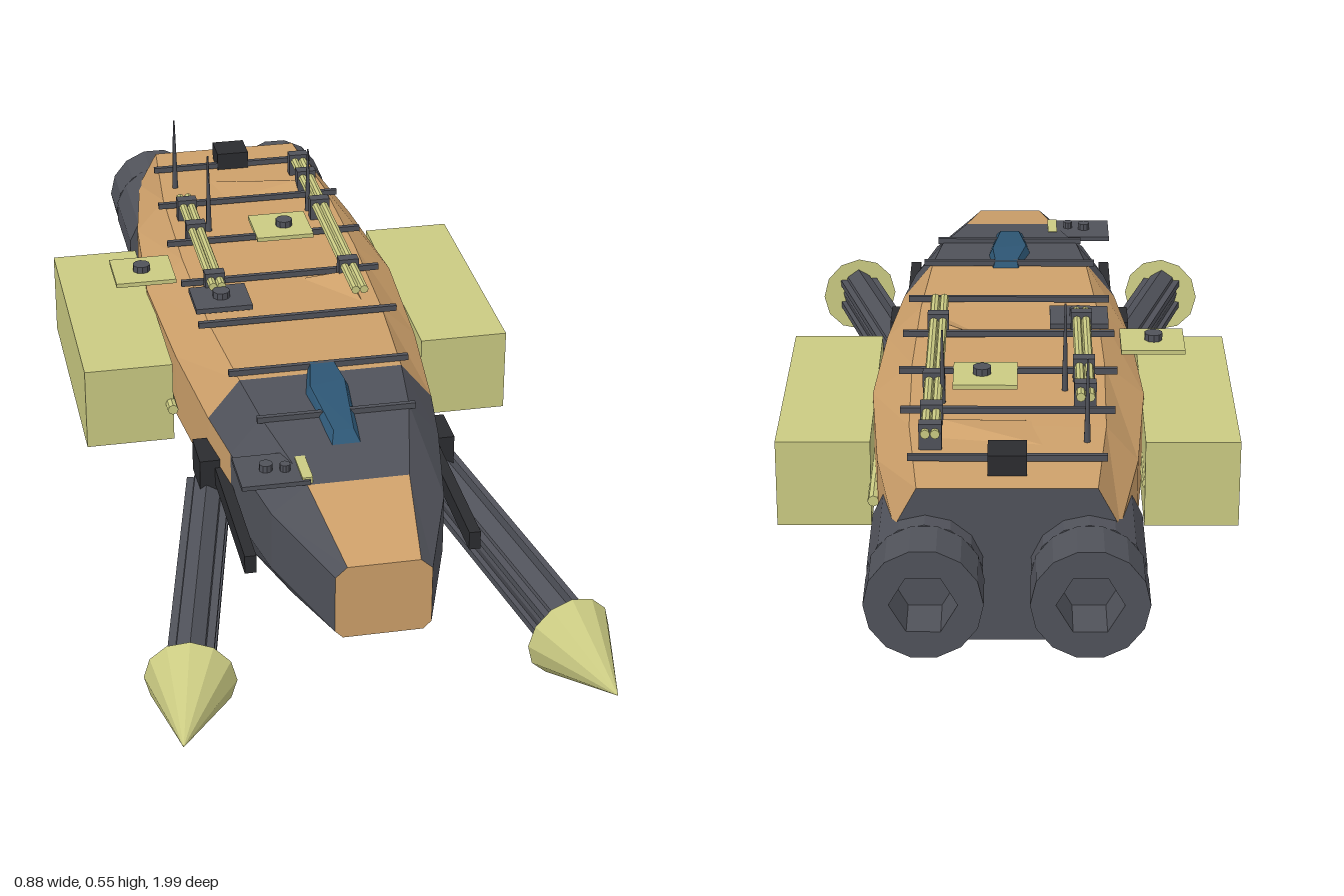
import * as THREE from 'three';
import { ConvexGeometry } from 'three/addons/geometries/ConvexGeometry.js';

export function createModel() {
  const model = new THREE.Group();
  model.name = 'spacecraft';
  const paint = (name, color) => {
    const m = new THREE.MeshStandardMaterial({ color });
    m.name = name;
    return m;
  };
  const tan = paint('tan', 0xcda06a), grey = paint('slate grey', 0x50525a), yellow = paint('pale yellow', 0xcaca82);
  const blue = paint('canopy blue', 0x2d5674), black = paint('near black', 0x2b2c2f);

  const add = (name, geo, mat, x = 0, y = 0, z = 0) => {
    const mesh = new THREE.Mesh(geo, mat);
    mesh.name = name;
    mesh.position.set(x, y, z);
    model.add(mesh);
    return mesh;
  };
  // box given by its limits on each axis
  const box = (name, mat, x0, x1, y0, y1, z0, z1) =>
    add(name, new THREE.BoxGeometry(x1 - x0, y1 - y0, z1 - z0), mat, (x0 + x1) / 2, (y0 + y1) / 2, (z0 + z1) / 2);
  const flat = (geo) => {
    const g = geo.index ? geo.toNonIndexed() : geo;
    g.computeVertexNormals();
    return g;
  };
  // cylinder along z
  const rod = (name, mat, r, x, y, z0, z1, sides = 8) =>
    add(name, flat(new THREE.CylinderGeometry(r, r, z1 - z0, sides).rotateX(Math.PI / 2)), mat, x, y, (z0 + z1) / 2);

  // Hull cross-sections: z, top half-width, top, side half-width, upper y, lower y, bottom half-width, bottom
  const sections = [
    [0.82, 0.068, 0.295, 0.09, 0.275, 0.16, 0.075, 0.145],
    [0.6, 0.097, 0.34, 0.165, 0.285, 0.165, 0.125, 0.105],
    [0.39, 0.145, 0.37, 0.205, 0.297, 0.17, 0.165, 0.073],
    [0.25, 0.162, 0.378, 0.225, 0.3, 0.17, 0.178, 0.065],
    [0, 0.18, 0.374, 0.25, 0.307, 0.17, 0.192, 0.058],
    [-0.3, 0.187, 0.374, 0.265, 0.31, 0.17, 0.2, 0.055],
    [-0.6, 0.182, 0.374, 0.242, 0.305, 0.17, 0.19, 0.06],
    [-0.86, 0.16, 0.37, 0.2, 0.295, 0.165, 0.165, 0.07],
  ];
  const rings = sections.map(([z, tw, top, w, yu, yl, bw, bot]) => {
    const right = [[bw, bot], [w, yl], [w, yu], [tw, top]];
    const left = right.map(([x, y]) => [-x, y]).reverse();
    return [...right, ...left].map(([x, y]) => [x, y, z]);
  });
  const tanFaces = [], greyFaces = [];
  for (let i = 0; i < rings.length - 1; i++) {
    for (let j = 0; j < 8; j++) {
      const k = (j + 1) % 8;
      const a = rings[i][j], b = rings[i][k], c = rings[i + 1][k], d = rings[i + 1][j];
      let dark = i < 2; // flanks of the nose
      if (j === 2 || j === 4) dark = i < 3; // upper chamfers
      if (j === 3) dark = i === 1 || i === 2; // deck around the canopy
      if (j === 7) dark = false; // belly
      (dark ? greyFaces : tanFaces).push(a, d, c, a, c, b);
    }
  }
  for (let j = 1; j < 7; j++) {
    tanFaces.push(rings[0][0], rings[0][j], rings[0][j + 1]);
    greyFaces.push(rings[7][0], rings[7][j + 1], rings[7][j]);
  }
  const skin = (faces) => {
    const g = new THREE.BufferGeometry();
    g.setAttribute('position', new THREE.Float32BufferAttribute(faces.flat(), 3));
    g.computeVertexNormals();
    return g;
  };
  add('hull', skin(tanFaces), tan);
  add('noseArmour', skin(greyFaces), grey);

  // Canopy
  const outline = [[-0.025, 0.2], [0.045, 0.2], [0.055, 0.3], [0.03, 0.5], [-0.03, 0.5], [-0.055, 0.32]];
  const canopyPoints = outline.flatMap(([x, z]) => [
    new THREE.Vector3(x, 0.35, z),
    new THREE.Vector3(x * 0.65, z > 0.45 ? 0.372 : 0.391, 0.33 + (z - 0.33) * 0.8),
  ]);
  add('canopy', new ConvexGeometry(canopyPoints), blue);

  // Raised deck fairings
  const fairing = (...pts) => add('deckFairing', new ConvexGeometry(pts.map((p) => new THREE.Vector3(...p))), tan);
  fairing([-0.09, 0.37, -0.69], [0.12, 0.37, -0.66], [0.12, 0.37, -0.56], [-0.08, 0.37, -0.565], [0.12, 0.392, -0.61]);
  fairing([0.03, 0.37, -0.17], [0.15, 0.37, -0.17], [0.15, 0.37, -0.02], [0.13, 0.395, -0.14]);

  // Rear engines with six-sided nozzles
  const ring = (PathType, r, n) => new PathType().setFromPoints(
    Array.from({ length: n }, (_, i) => new THREE.Vector2(r * Math.cos((i * 2 * Math.PI) / n), r * Math.sin((i * 2 * Math.PI) / n))));
  for (const s of [-1, 1]) {
    rod('engineBody', grey, 0.105, s * 0.145, 0.213, -0.9, -0.69, 14);
    const shape = ring(THREE.Shape, 0.105, 14);
    shape.holes.push(ring(THREE.Path, 0.06, 6));
    add('engineNozzle', new THREE.ExtrudeGeometry(shape, { depth: 0.1, bevelEnabled: false }), grey, s * 0.145, 0.213, -1);
  }

  // Forward booms with cone tips
  const up = new THREE.Vector3(0, 0, 1);
  for (const s of [-1, 1]) {
    const start = new THREE.Vector3(s * 0.228, 0.143, 0.26), end = new THREE.Vector3(s * 0.361, 0.09, 0.83);
    const dir = end.clone().sub(start);
    const mid = start.clone().add(end).multiplyScalar(0.5);
    const turn = new THREE.Quaternion().setFromUnitVectors(up, dir.clone().normalize());
    const boomGeo = flat(new THREE.CylinderGeometry(0.056, 0.056, dir.length(), 8).rotateX(Math.PI / 2).scale(0.66, 1, 1));
    add('boom', boomGeo, grey, mid.x, mid.y, mid.z).quaternion.copy(turn);
    for (const y of [-0.026, 0.026]) {
      const rib = new THREE.BoxGeometry(0.085, 0.014, dir.length() * 0.98).translate(0, y, 0);
      add('boomRib', rib, grey, mid.x, mid.y, mid.z).quaternion.copy(turn);
    }
    const coneGeo = flat(new THREE.ConeGeometry(0.085, 0.185, 12).rotateX(Math.PI / 2));
    add('boomTip', coneGeo, yellow, s * 0.376, 0.079, 0.902).quaternion.copy(turn);

    // Side guns
    const span = (a, b) => (s > 0 ? [a, b] : [-b, -a]);
    box('gunBlock', black, ...span(0.215, 0.255), 0.18, 0.247, 0.235, 0.325);
    box('gunBarrel', black, ...span(0.203, 0.225), 0.193, 0.23, 0.24, 0.65);

    // Cargo pods and their rods
    box('sidePod', yellow, ...span(0.26, 0.44), 0.127, 0.301, -0.51, 0.022);
    rod('podRod', yellow, 0.011, s * (s > 0 ? 0.252 : 0.265), 0.211, s > 0 ? -0.58 : -0.5, s > 0 ? -0.08 : 0.05);
  }

  // Deck cross bars
  for (const [z, half, y] of [[-0.75, 0.18, 0.38], [-0.55, 0.2, 0.385], [-0.36, 0.21, 0.385], [-0.17, 0.21, 0.385], [0.02, 0.205, 0.385], [0.23, 0.18, 0.385], [0.4, 0.155, 0.373]]) {
    box('crossBar', grey, -half, half, y - 0.006, y + 0.006, z - 0.005, z + 0.005);
  }

  // Deck pipes on clamps
  for (const [x, z0, z1, clamps] of [[-0.145, -0.54, -0.1, [-0.5, -0.38, -0.14]], [0.14, -0.71, -0.03, [-0.69, -0.6, -0.45, -0.15]]]) {
    rod('deckPipe', yellow, 0.009, x - 0.009, 0.406, z0, z1);
    rod('deckPipe', yellow, 0.009, x + 0.009, 0.406, z0, z1);
    for (const z of clamps) box('pipeClamp', grey, x - 0.021, x + 0.021, 0.37, 0.422, z - 0.012, z + 0.012);
  }

  // Sensor plates with round studs
  const stud = (x, y, z, r = 0.018) => add('stud', flat(new THREE.CylinderGeometry(r, r, 0.014, 10)), grey, x, y + 0.007, z);
  box('sensorPlate', yellow, -0.345, -0.22, 0.387, 0.396, -0.285, -0.17);
  stud(-0.285, 0.396, -0.226);
  box('sensorPlate', yellow, -0.018, 0.105, 0.383, 0.392, -0.45, -0.335);
  stud(0.05, 0.392, -0.39);
  box('greyPlate', grey, -0.2, -0.083, 0.38, 0.391, -0.135, -0.035);
  stud(-0.14, 0.391, -0.085);
  box('nosePlate', grey, -0.22, -0.09, 0.34, 0.349, 0.49, 0.6);
  stud(-0.165, 0.349, 0.545, 0.013);
  stud(-0.13, 0.349, 0.553, 0.01);
  box('noseSensor', yellow, -0.105, -0.085, 0.34, 0.353, 0.515, 0.595);
  box('rearBox', black, -0.035, 0.035, 0.365, 0.41, -0.81, -0.742);

  // Antennas
  for (const [x, z, top] of [[-0.145, -0.665, 0.535], [-0.108, -0.43, 0.55], [0.123, -0.49, 0.52]]) {
    const h = top - 0.37;
    add('antenna', new THREE.CylinderGeometry(0.002, 0.007, h, 6), grey, x, 0.37 + h / 2, z);
  }
  return model;
}
